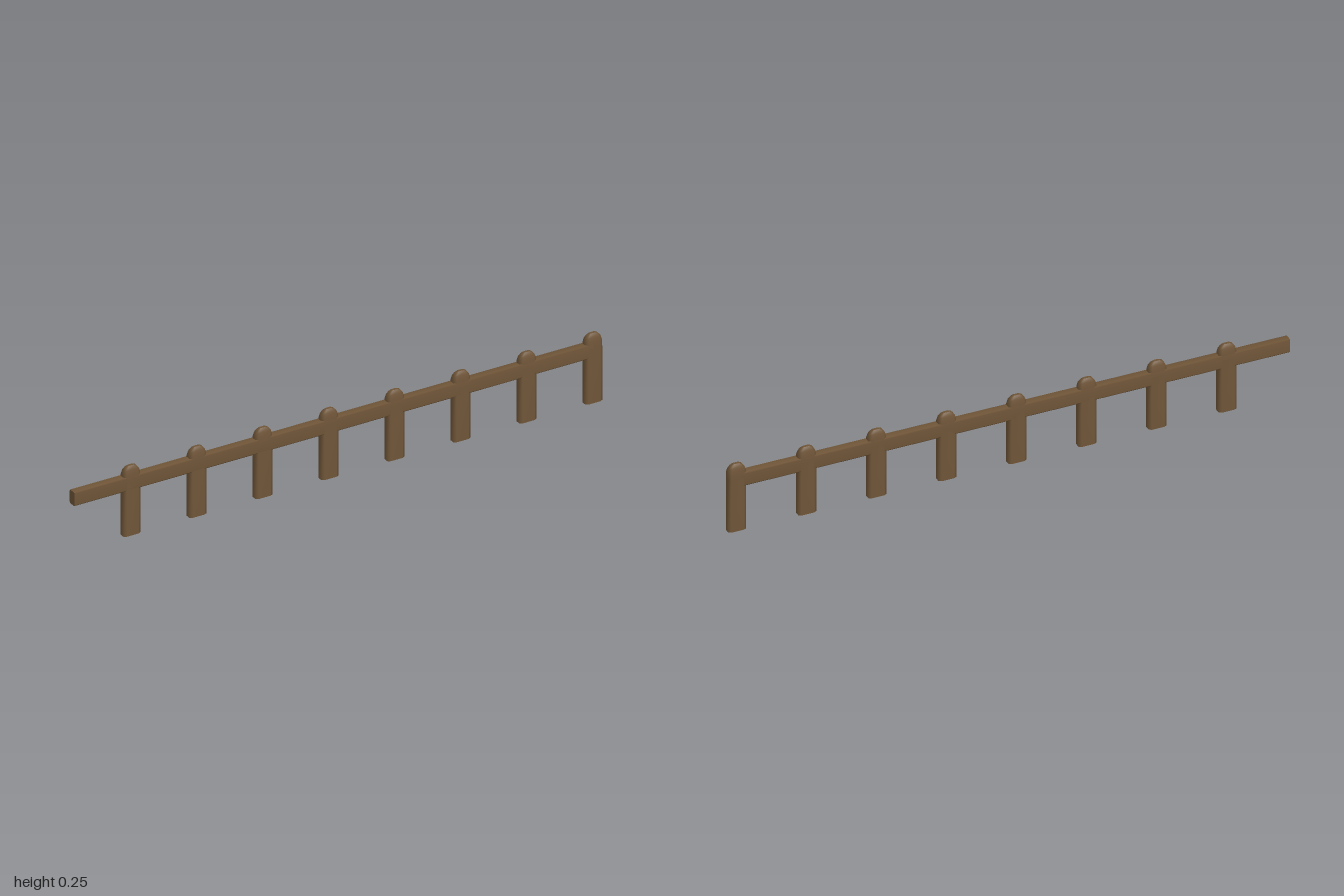
import * as THREE from 'three';

// Skin between cross-section rings; optional flat caps at either end
function loft(rings, capStart, capEnd) {
  const n = rings[0].length;
  const pos = rings.flat(2);
  const index = [];
  for (let i = 0; i < rings.length - 1; i++) {
    for (let j = 0; j < n; j++) {
      const a = i * n + j, b = i * n + (j + 1) % n;
      index.push(a, b, b + n, a, b + n, a + n);
    }
  }
  const cap = (ring, flip) => {
    const s = pos.length / 3;
    pos.push(...ring.flat());
    for (let j = 1; j < n - 1; j++) {
      if (flip) index.push(s, s + j + 1, s + j);
      else index.push(s, s + j, s + j + 1);
    }
  };
  if (capStart) cap(rings[0], true);
  if (capEnd) cap(rings[rings.length - 1], false);
  const g = new THREE.BufferGeometry();
  g.setAttribute('position', new THREE.Float32BufferAttribute(pos, 3));
  g.setIndex(index);
  g.computeVertexNormals();
  return g;
}

// Rectangle with chamfered corners, counter-clockwise
function chamfered(w, d, cw, cd) {
  return [[w, -cd], [w, cd], [cw, d], [-cw, d], [-w, cd], [-w, -cd], [-cw, -d], [cw, -d]];
}

export function createModel() {
  const wood = new THREE.MeshStandardMaterial({ color: 0x6f5538 });
  wood.name = 'brown wood';
  const pale = new THREE.MeshStandardMaterial({ color: 0xdcdcdc });
  pale.name = 'pale cut end';
  const model = new THREE.Group();
  model.name = 'fence';

  // Post profile: height, half width, half depth; rounded at the top
  const profile = [
    [0, 0.032, 0.015], [0.2, 0.032, 0.015], [0.224, 0.0315, 0.0138],
    [0.239, 0.027, 0.012], [0.248, 0.02, 0.009], [0.253, 0.011, 0.005],
  ];
  const postGeometry = loft(profile.map(([y, w, d]) =>
    chamfered(w, d, w * 0.7, d * 0.65).map(([x, z]) => [x, y, -z])), true, true);
  // Thin pale plate on the underside of each post, inside a brown rim
  const plateGeometry = new THREE.BoxGeometry(0.046, 0.002, 0.018);

  for (let i = 0; i < 8; i++) {
    const post = new THREE.Group();
    post.name = `post${i + 1}`;
    const shaft = new THREE.Mesh(postGeometry, wood);
    shaft.name = 'shaft';
    const cutEnd = new THREE.Mesh(plateGeometry, pale);
    cutEnd.name = 'cutEnd';
    post.add(shaft, cutEnd);
    post.position.x = -0.782 + i * 0.2502;
    model.add(post);
  }

  // Horizontal rail, reaching past the first post and ending in the last
  const section = chamfered(0.025, 0.015, 0.021, 0.0125);
  const rail = new THREE.Mesh(loft([-1.003, 0.965].map(x =>
    section.map(([y, z]) => [x, y, z])), true, true), wood);
  rail.name = 'rail';
  rail.position.y = 0.192;
  model.add(rail);

  // The run of fence stands slightly askew
  model.rotation.y = 0.0915;
  const root = new THREE.Group();
  root.name = 'fenceSection';
  root.add(model);
  return root;
}
